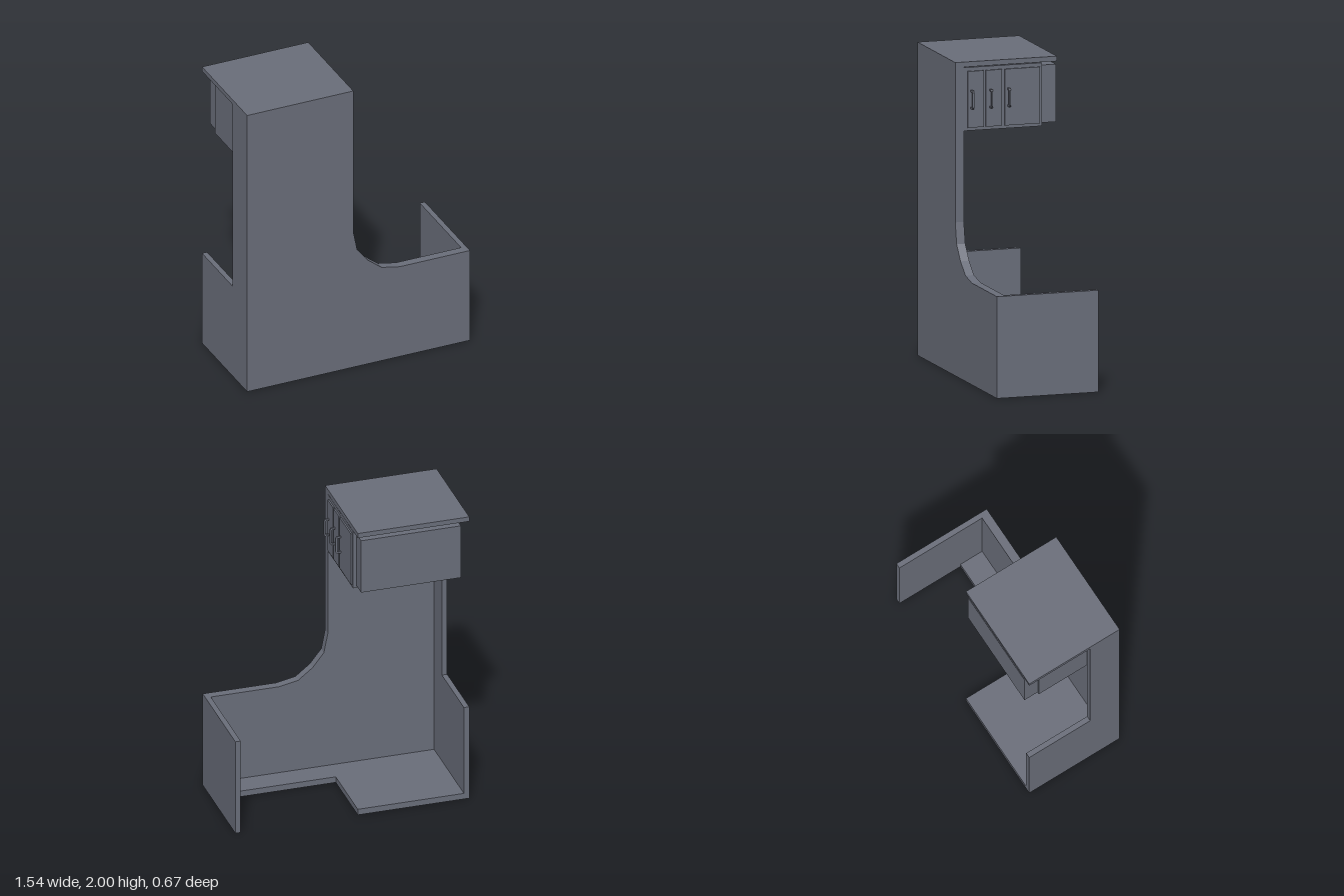
import * as THREE from 'three';

export function createModel() {
  const model = new THREE.Group();
  model.name = 'cabinetUnit';
  const slate = new THREE.MeshStandardMaterial({ color: 0x696d79 });
  slate.name = 'slate grey';

  const add = (name, geometry, parent = model) => {
    const mesh = new THREE.Mesh(geometry, slate);
    mesh.name = name;
    parent.add(mesh);
    return mesh;
  };
  // Box given by its limits on each axis
  const box = (name, [x0, x1], [y0, y1], [z0, z1], parent) => {
    const mesh = add(name, new THREE.BoxGeometry(x1 - x0, y1 - y0, z1 - z0), parent);
    mesh.position.set((x0 + x1) / 2, (y0 + y1) / 2, (z0 + z1) / 2);
    return mesh;
  };
  // Outline pushed along its normal
  const plate = (name, points, depth, parent) => {
    const shape = new THREE.Shape(points.map(([x, y]) => new THREE.Vector2(x, y)));
    return add(name, new THREE.ExtrudeGeometry(shape, { depth, bevelEnabled: false }), parent);
  };

  const W = 0.77, D = 0.337, inner = 0.735, columnX = -0.036;
  const low = 0.65, wallZ = 0.28, ledgeZ = 0.118, floorY = 0.04;

  // Front wall with its curved inside corner
  plate('frontWall', [
    [-W, 0], [W, 0], [W, low], [0.285, low], [0.16, 0.675], [0.065, 0.75],
    [-0.01, 0.845], [columnX, 0.98], [columnX, 2], [-W, 2],
  ], D - wallZ).position.z = wallZ;

  // Side walls: the right-hand one steps back above the counter height
  box('shortSideWall', [inner, W], [0, low], [-D, wallZ]);
  const tall = plate('tallSideWall', [
    [-wallZ, 0], [D, 0], [D, low], [-ledgeZ, low], [-ledgeZ, 1.968], [-wallZ, 1.968],
  ], W - inner);
  tall.rotation.y = Math.PI / 2;
  tall.position.x = -W;

  // L-shaped floor and the top slab
  const floor = plate('floor', [
    [-inner, -wallZ], [inner, -wallZ], [inner, -ledgeZ],
    [columnX, -ledgeZ], [columnX, D], [-inner, D],
  ], floorY);
  floor.rotation.x = -Math.PI / 2;
  box('topSlab', [-W, columnX], [1.968, 2], [-D, wallZ]);

  // Hanging cupboard and the smaller box behind it
  const cupboard = new THREE.Group();
  cupboard.name = 'cupboard';
  model.add(cupboard);
  box('cupboardBody', [-0.725, -0.037], [1.56, 1.964], [-0.237, wallZ], cupboard);
  box('cupboardBack', [-0.715, -0.058], [1.577, 1.945], [-D, -0.237], cupboard);

  // Doors, each with a chamfered pull handle
  const doors = [[0.15, 0.257, 0.232], [0.03, 0.135, 0.107], [-0.222, 0.01, -0.012]];
  for (const [z0, z1, handleZ] of doors) {
    box('door', [-0.037, -0.027], [1.58, 1.94], [z0, z1], cupboard);
    plate('handle', [
      [-0.027, 1.7], [-0.001, 1.7], [0.008, 1.712], [0.008, 1.808], [-0.001, 1.82], [-0.027, 1.82],
      [-0.027, 1.808], [-0.005, 1.808], [-0.003, 1.802], [-0.003, 1.718], [-0.005, 1.712], [-0.027, 1.712],
    ], 0.012, cupboard).position.z = handleZ - 0.006;
  }
  return model;
}
